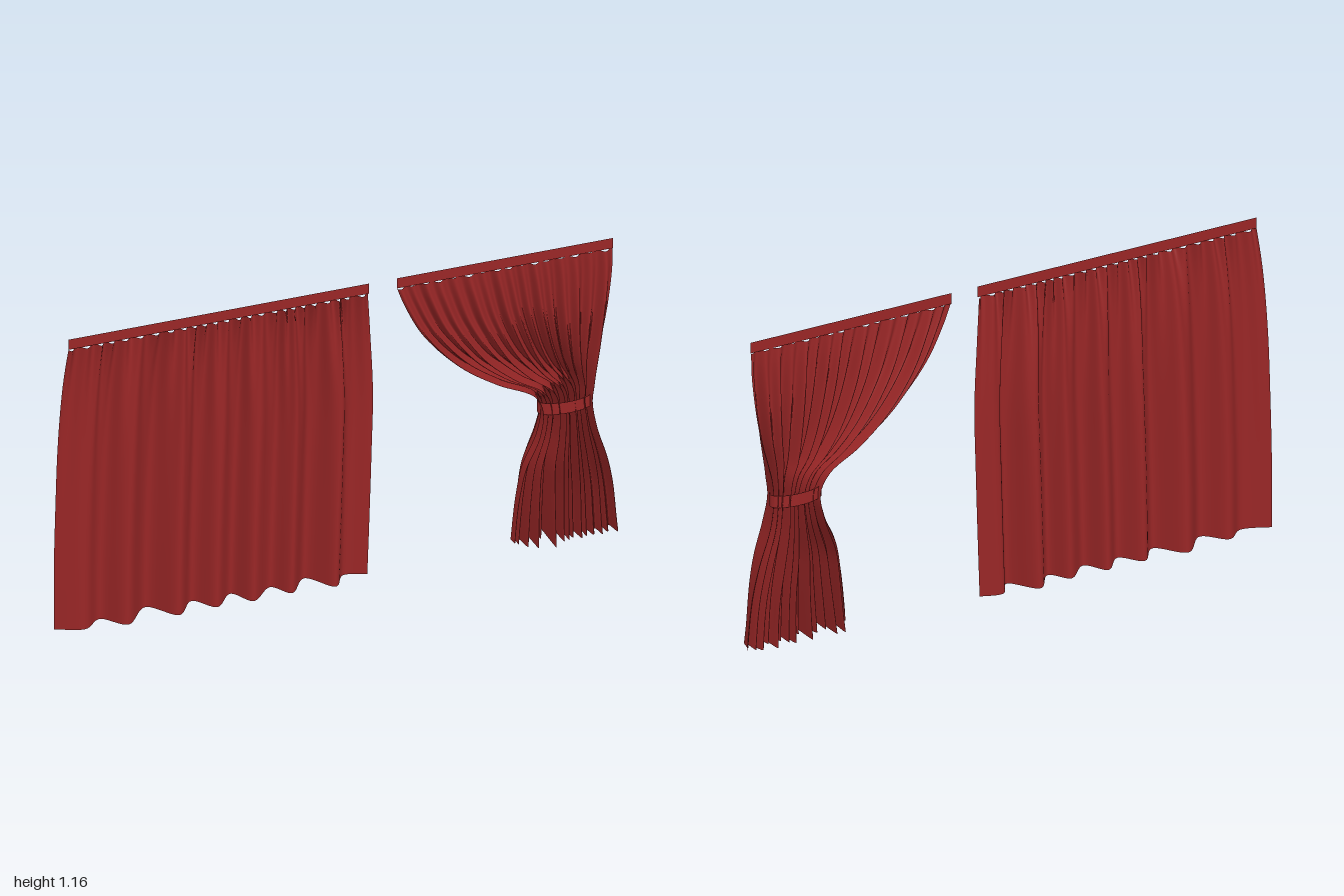
import * as THREE from 'three';

const TOP = 1.12;
const cloth = new THREE.MeshStandardMaterial({ color: 0x992626, side: THREE.DoubleSide });

// Sheet of cloth: u runs left to right in the front view, v runs from top to hem
function sheet(name, nu, nv, place) {
  const pos = [], index = [];
  for (let j = 0; j <= nv; j++) {
    for (let i = 0; i <= nu; i++) pos.push(...place(i / nu, j / nv));
  }
  for (let j = 0; j < nv; j++) {
    for (let i = 0; i < nu; i++) {
      const a = j * (nu + 1) + i, b = a + nu + 1;
      index.push(a, b, a + 1, b, b + 1, a + 1);
    }
  }
  const geo = new THREE.BufferGeometry();
  geo.setAttribute('position', new THREE.Float32BufferAttribute(pos, 3));
  geo.setIndex(index);
  geo.computeVertexNormals();
  const mesh = new THREE.Mesh(geo, cloth);
  mesh.name = name;
  return mesh;
}

// Flat heading strip above the gathers
function heading(name, x0, x1) {
  const mesh = new THREE.Mesh(new THREE.PlaneGeometry(x1 - x0, 0.04), cloth);
  mesh.position.set((x0 + x1) / 2, TOP + 0.02, 0);
  mesh.name = name;
  return mesh;
}

// Curve through [x, y, z] points
const curve = pts => new THREE.CatmullRomCurve3(pts.map(p => new THREE.Vector3(...p)));

// Straight curtain: hem folds fade into fine gathers at the heading
function hangingCurtain() {
  const group = new THREE.Group();
  group.name = 'hangingCurtain';
  const hem = new THREE.SplineCurve([
    [-1, -0.035], [-0.9, 0], [-0.83, -0.045], [-0.75, 0.02], [-0.66, -0.065], [-0.57, 0.02],
    [-0.5, -0.05], [-0.43, 0.015], [-0.36, -0.05], [-0.3, 0.02], [-0.22, -0.045], [-0.16, 0.015],
    [-0.09, -0.06], [-0.01, 0.025], [0.04, -0.035], [0.12, -0.015],
  ].map(p => new THREE.Vector2(...p)));
  // x of the left edge, height, x of the right edge
  const edges = curve([
    [-0.96, TOP, 0.11], [-0.975, 0.95, 0.12], [-0.988, 0.72, 0.13],
    [-0.995, 0.48, 0.125], [-1, 0.24, 0.118], [-1, 0, 0.11],
  ]);
  group.add(sheet('hangingCloth', 240, 48, (u, v) => {
    const e = edges.getPoint(v), p = hem.getPoint(u);
    const s = (TOP - e.y) / TOP;
    const depth = 1 - Math.exp(-6 * s);
    const gather = 0.013 * Math.exp(-5 * s) * Math.sin(Math.PI * 2 * 25 * u + Math.sin(17 * u));
    const x = THREE.MathUtils.lerp(e.x, e.z, (p.x + 1) / 1.12);
    return [x, e.y, p.y * depth + gather];
  }));
  group.add(heading('hangingHeading', -0.96, 0.11));
  return group;
}

// Tied curtain: swept to a narrow waist, flaring out below it
function tiedCurtain() {
  const group = new THREE.Group();
  group.name = 'tiedCurtain';
  const rows = [ // height, left edge, right edge, pleat depth
    [1.12, 0.21, 0.98, 0.012], [1.05, 0.235, 0.98, 0.018], [0.92, 0.3, 0.968, 0.026],
    [0.78, 0.42, 0.945, 0.034], [0.69, 0.55, 0.922, 0.045], [0.62, 0.68, 0.906, 0.048],
    [0.55, 0.715, 0.9, 0.042], [0.45, 0.7, 0.915, 0.055], [0.32, 0.65, 0.955, 0.07],
    [0.2, 0.63, 0.98, 0.085], [0.005, 0.61, 1, 0.12],
  ];
  const edges = curve(rows.map(([y, l, r]) => [l, y, r]));
  const depths = curve(rows.map(r => [r[3], 0, 0]));
  group.add(sheet('tiedCloth', 360, 64, (u, v) => {
    const e = edges.getPoint(v);
    const below = THREE.MathUtils.smoothstep(0.55 - e.y, 0, 0.5);
    // The deepest flare sits toward the swept side
    const flare = Math.exp(-(((u - 0.28) / 0.17) ** 2));
    const depth = depths.getPoint(v).x * THREE.MathUtils.lerp(1, 0.3 + 0.7 * flare, below);
    const fine = Math.sin(Math.PI * 2 * 16 * u + 0.9 * Math.sin(11 * u));
    const broad = Math.sin(Math.PI * 2 * 6.3 * u + 1);
    const x = THREE.MathUtils.lerp(e.x, e.z, u);
    const lift = below * (0.035 * Math.max(flare, 1 - u * 6) + 0.006 * (1 + broad));
    return [x, e.y + lift, depth * (0.6 * fine + 0.4 * broad)];
  }));
  group.add(heading('tiedHeading', 0.21, 0.98));

  // Tieback wrapped round the waist
  const band = new THREE.Mesh(new THREE.CylinderGeometry(1, 1, 0.045, 40, 1, true), cloth);
  band.scale.set(0.097, 1, 0.04);
  band.position.set(0.808, 0.548, 0);
  band.name = 'tieback';
  group.add(band);
  return group;
}

export function createModel() {
  const model = new THREE.Group();
  model.name = 'curtains';
  model.add(hangingCurtain(), tiedCurtain());
  return model;
}
